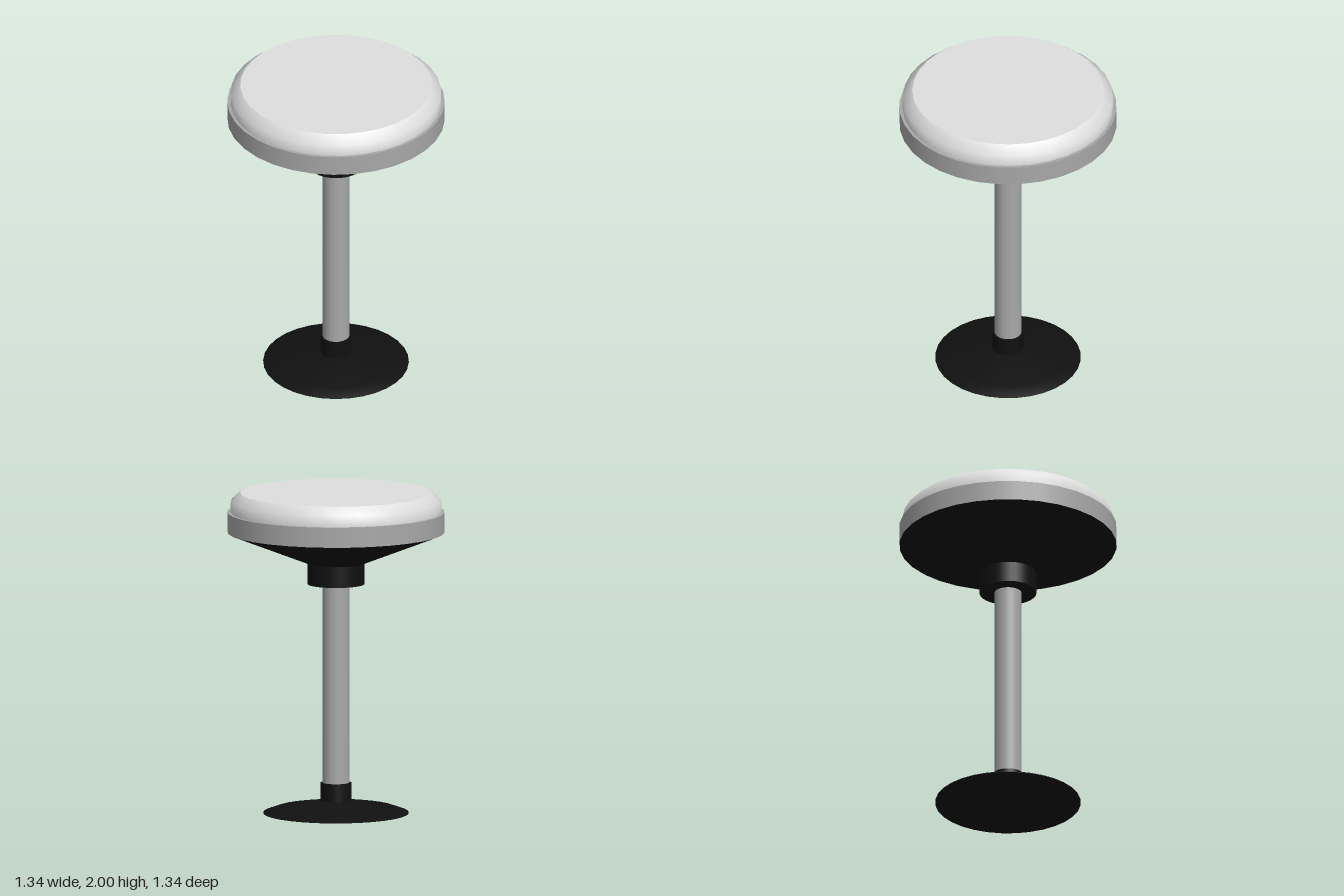
import * as THREE from 'three';
import { mergeGeometries } from 'three/addons/utils/BufferGeometryUtils.js';

const SEGMENTS = 32;

// Turned part: each strip is a smooth run of [radius, y] points; edges between strips stay sharp
function turned(name, material, strips, turn = 0) {
  const parts = strips.map(strip => new THREE.LatheGeometry(
    strip.map(([r, y]) => new THREE.Vector2(r, y)), SEGMENTS));
  const mesh = new THREE.Mesh(mergeGeometries(parts), material);
  mesh.name = name;
  mesh.rotation.y = turn;
  return mesh;
}

// Closed straight cylinder between two heights
function drum(name, material, r, y0, y1) {
  return turned(name, material, [
    [[0, y0], [r, y0]], [[r, y0], [r, y1]], [[r, y1], [0, y1]],
  ]);
}

export function createModel() {
  const material = (name, color) => {
    const m = new THREE.MeshStandardMaterial({ color });
    m.name = name;
    return m;
  };
  const black = material('black', 0x101010);
  const metal = material('metal grey', 0xa8a8a8);
  const pale = material('pale cushion', 0xdedede);

  const stool = new THREE.Group();
  stool.name = 'stool';

  stool.add(
    // Floor plate with a shallow sloped top
    turned('basePlate', black, [
      [[0, 0], [0.45, 0]],
      [[0.45, 0], [0.45, 0.004], [0.37, 0.032], [0.095, 0.077], [0, 0.077]],
    ]),
    drum('baseCollar', black, 0.095, 0.06, 0.19),
    drum('post', metal, 0.083, 0.15, 1.46),
    drum('seatCollar', black, 0.176, 1.43, 1.565),
    // Cone flaring out under the seat
    turned('seatSupport', black, [
      [[0, 1.56], [0.176, 1.56]],
      [[0.176, 1.56], [0.672, 1.755]],
    ]),
    // Metal band round the seat
    turned('seatBand', metal, [
      [[0.672, 1.755], [0.672, 1.88]],
      [[0.672, 1.88], [0, 1.88]],
    ]),
    // Padded cushion with a rounded shoulder and flat top
    turned('cushion', pale, [
      [[0.653, 1.88], [0.65, 1.95], [0.592, 2]],
      [[0.592, 2], [0, 2]],
    ], Math.PI / SEGMENTS),
  );
  return stool;
}
